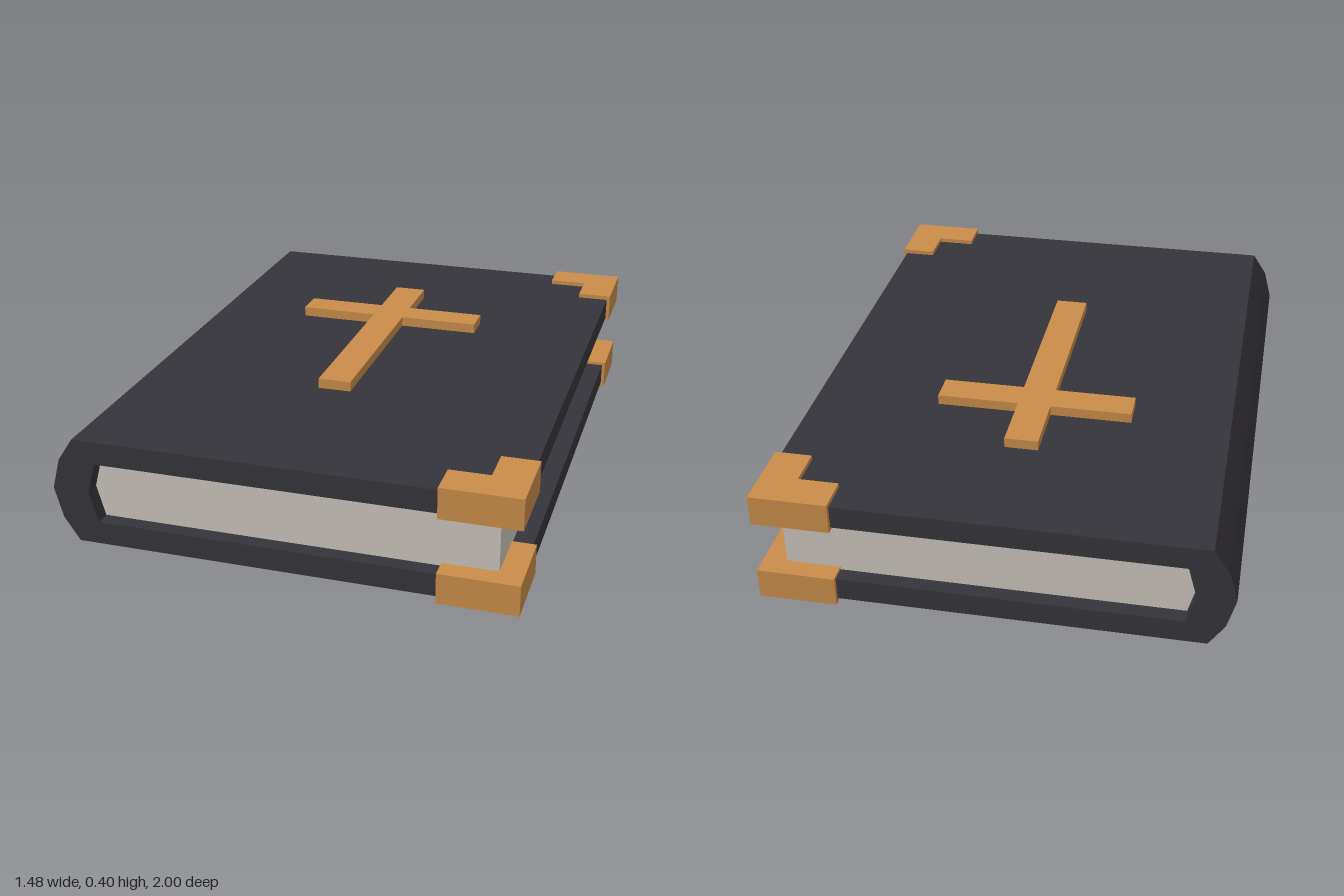
import * as THREE from 'three';

const material = (name, color) => {
  const m = new THREE.MeshStandardMaterial({ color });
  m.name = name;
  return m;
};

const shapeOf = (points) => new THREE.Shape(points.map(([x, y]) => new THREE.Vector2(x, y)));

// Outline in x/y, extruded along z and centred on z = 0
function extrudeAlongZ(points, length) {
  const geo = new THREE.ExtrudeGeometry(shapeOf(points), { depth: length, bevelEnabled: false });
  return geo.translate(0, 0, -length / 2);
}

// Outline in x/z, extruded upward from y0 to y1
function extrudeUp(points, y0, y1) {
  const geo = new THREE.ExtrudeGeometry(shapeOf(points), { depth: y1 - y0, bevelEnabled: false });
  return geo.rotateX(Math.PI / 2).translate(0, y1, 0);
}

export function createModel() {
  const leather = material('dark leather', 0x36343b);
  const paper = material('paper', 0xcac5bc);
  const brass = material('brass', 0xc98d4a);

  const book = new THREE.Group();
  book.name = 'book';
  const add = (name, geometry, mat) => {
    const mesh = new THREE.Mesh(geometry, mat);
    mesh.name = name;
    book.add(mesh);
  };

  // Both boards and the faceted spine as one C-shaped profile
  add('cover', extrudeAlongZ([
    [0.728, 0.015], [0.728, 0.09], [-0.595, 0.09], [-0.622, 0.19], [-0.595, 0.29], [0.728, 0.29],
    [0.728, 0.365], [-0.665, 0.365], [-0.715, 0.29], [-0.742, 0.19], [-0.715, 0.09], [-0.665, 0.015],
  ], 1.97), leather);

  // Page block, set back from the board edges
  add('pages', extrudeAlongZ([
    [0.664, 0.09], [0.664, 0.29], [-0.595, 0.29], [-0.622, 0.19], [-0.595, 0.09],
  ], 1.87), paper);

  // L-shaped corner guards on both boards, front and back
  const guard = [[0.49, 1], [0.74, 1], [0.74, 0.75], [0.62, 0.75], [0.62, 0.88], [0.49, 0.88]];
  for (const [level, y0, y1] of [['lower', 0, 0.1], ['upper', 0.28, 0.38]]) {
    for (const [end, side] of [['Front', 1], ['Back', -1]]) {
      const outline = guard.map(([x, z]) => [x, z * side]);
      add(`${level}${end}CornerGuard`, extrudeUp(outline, y0, y1), brass);
    }
  }

  // Raised cross on the top board
  add('cross', extrudeUp([
    [-0.07, -0.57], [0.04, -0.57], [0.04, -0.355], [0.312, -0.355], [0.312, -0.25], [0.04, -0.25],
    [0.04, 0.39], [-0.07, 0.39], [-0.07, -0.25], [-0.34, -0.25], [-0.34, -0.355], [-0.07, -0.355],
  ], 0.36, 0.398), brass);

  return book;
}
